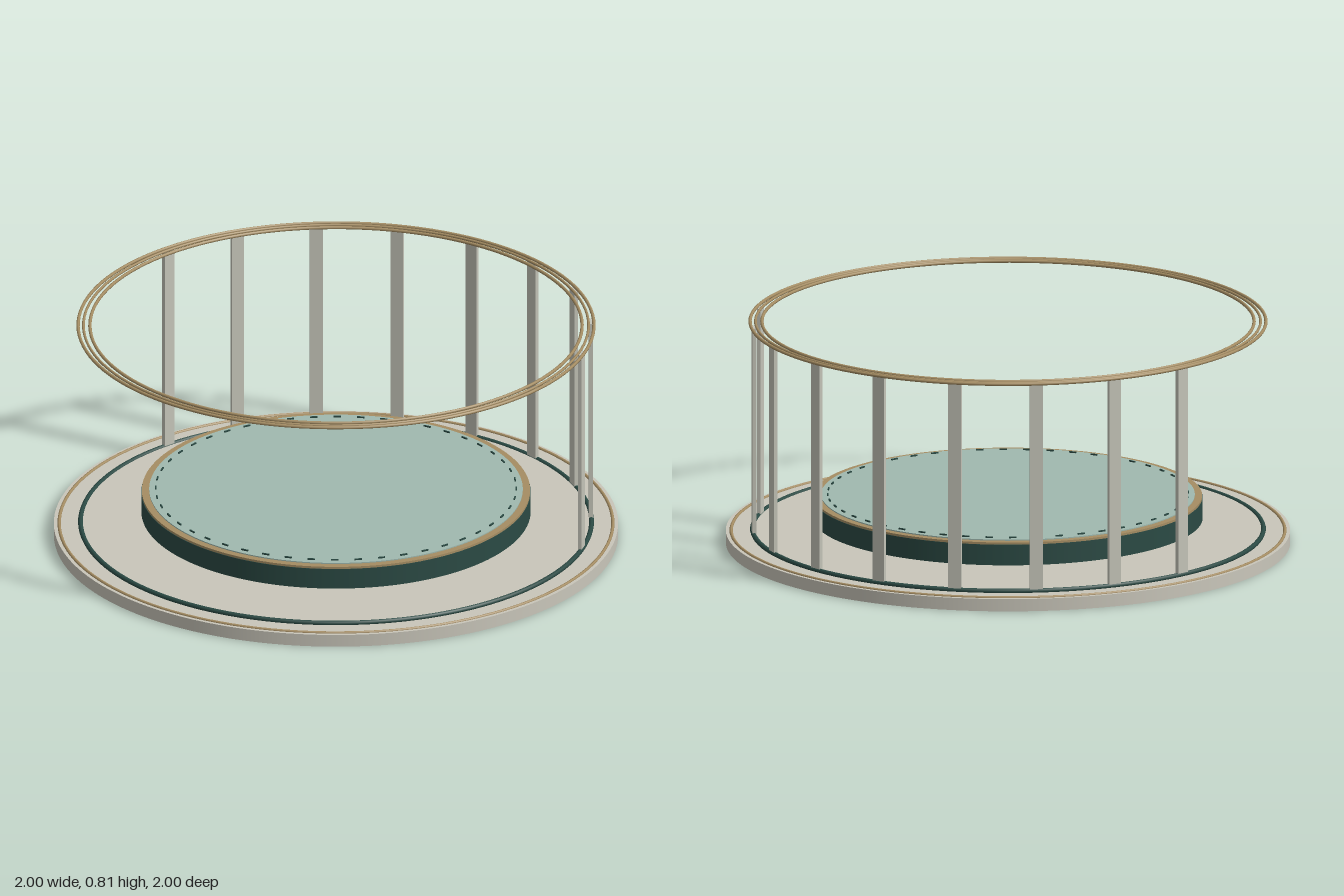
import * as THREE from 'three';

const paint = (name, color) => {
  const m = new THREE.MeshStandardMaterial({ color });
  m.name = name;
  return m;
};

export function createModel() {
  const model = new THREE.Group();
  model.name = 'roundPavilion';
  const stone = paint('warm stone', 0xc9c6ba);
  const metal = paint('pale metal', 0xc4c4b8);
  const brass = paint('brass', 0xa58d63);
  const green = paint('dark green', 0x2b4a44);
  const teal = paint('pale teal', 0xa0b9af);

  const add = (name, geometry, material, y = 0, parent = model) => {
    const mesh = new THREE.Mesh(geometry, material);
    mesh.name = name;
    mesh.position.y = y;
    parent.add(mesh);
    return mesh;
  };
  // Disc standing on height y
  const disc = (name, radius, y, height, material) =>
    add(name, new THREE.CylinderGeometry(radius, radius, height, 128), material, y + height / 2);
  // Thin round hoop lying flat at height y
  const hoop = (name, radius, tube, y, material) =>
    add(name, new THREE.TorusGeometry(radius, tube, 8, 128).rotateX(Math.PI / 2), material, y);

  // Base, its raised floor and the inlaid rings
  disc('base', 1, 0, 0.045, stone);
  disc('floor', 0.9, 0.045, 0.007, stone);
  hoop('baseRim', 0.981, 0.006, 0.045, brass);
  hoop('floorTrack', 0.905, 0.009, 0.05, green);

  // Floating platform with a brass edge and teal top
  disc('platform', 0.69, 0.09, 0.075, green);
  disc('platformEdge', 0.688, 0.165, 0.008, brass);
  disc('platformTop', 0.662, 0.173, 0.004, teal);

  // Ring of small dashes on the platform
  const dashes = new THREE.Group();
  dashes.name = 'platformDashes';
  model.add(dashes);
  const dashCount = 48;
  const dashShape = new THREE.BoxGeometry(0.026, 0.006, 0.005).translate(0, 0, 0.639);
  for (let i = 0; i < dashCount; i++) {
    add('dash', dashShape, green, 0.179, dashes).rotation.y = (i / dashCount) * Math.PI * 2;
  }

  // Flat posts around the back half
  const posts = new THREE.Group();
  posts.name = 'posts';
  model.add(posts);
  const postShape = new THREE.BoxGeometry(0.046, 0.75, 0.014).translate(0, 0, -0.903);
  for (let i = 0; i < 9; i++) {
    add('post', postShape, metal, 0.43, posts).rotation.y = -(0.032 + (i - 4) * 0.32);
  }

  // Three slim hoops form the top rail
  hoop('outerRail', 0.914, 0.006, 0.808, brass);
  hoop('middleRail', 0.895, 0.005, 0.808, brass);
  hoop('innerRail', 0.872, 0.006, 0.808, brass);

  return model;
}
